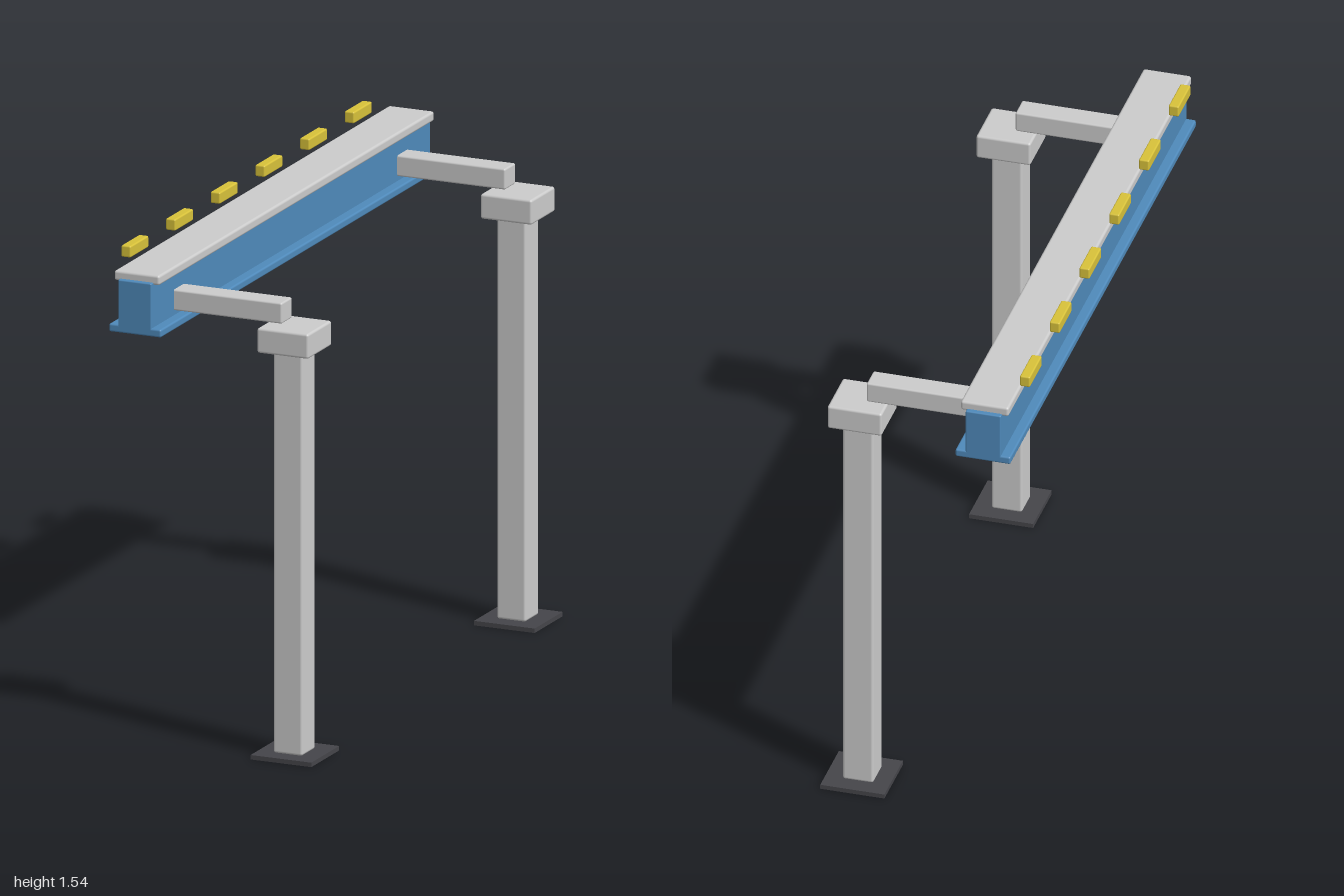
import * as THREE from 'three';
import { RoundedBoxGeometry } from 'three/addons/geometries/RoundedBoxGeometry.js';

const grey = new THREE.MeshStandardMaterial({ color: 0xcccccc });
const blue = new THREE.MeshStandardMaterial({ color: 0x4f8abb });
const yellow = new THREE.MeshStandardMaterial({ color: 0xd8c23a });
const dark = new THREE.MeshStandardMaterial({ color: 0x45454a });

// Box given by its min and max on each axis, with optional softened edges
function block(name, material, [x0, x1], [y0, y1], [z0, z1], radius = 0) {
  const size = [x1 - x0, y1 - y0, z1 - z0];
  const geometry = radius
    ? new RoundedBoxGeometry(...size, 2, radius)
    : new THREE.BoxGeometry(...size);
  const mesh = new THREE.Mesh(geometry, material);
  mesh.name = name;
  mesh.position.set((x0 + x1) / 2, (y0 + y1) / 2, (z0 + z1) / 2);
  return mesh;
}

// Post with foot plate, head block and the arm reaching to the beam
function createSupport(name) {
  const support = new THREE.Group();
  support.name = name;
  support.add(
    block('footPlate', dark, [0.122, 0.322], [0, 0.014], [-0.1, 0.1]),
    block('column', grey, [0.172, 0.268], [0.013, 1.275], [-0.048, 0.048], 0.008),
    block('columnHead', grey, [0.135, 0.305], [1.265, 1.343], [-0.085, 0.085], 0.008),
    block('arm', grey, [-0.2, 0.196], [1.35, 1.415], [-0.038, 0.038], 0.006)
  );
  return support;
}

export function createModel() {
  const model = new THREE.Group();
  model.name = 'overheadRail';

  // Beam: web, bottom flange and top cap
  const beam = new THREE.Group();
  beam.name = 'beam';
  beam.add(
    block('beamWeb', blue, [-0.27, -0.16], [1.32, 1.475], [-1, 1], 0.004),
    block('bottomFlange', blue, [-0.3, -0.128], [1.31, 1.335], [-1, 1], 0.006),
    block('topCap', grey, [-0.29, -0.14], [1.467, 1.498], [-0.985, 0.985], 0.008)
  );
  model.add(beam);

  // Two supports
  for (const [name, z] of [['frontSupport', 0.8], ['backSupport', -0.8]]) {
    const support = createSupport(name);
    support.position.z = z;
    model.add(support);
  }

  // Row of markers along the outer edge
  for (let i = 0; i < 6; i++) {
    const z = -0.8 + i * 0.32;
    model.add(block(`marker${i + 1}`, yellow, [-0.322, -0.29], [1.505, 1.541], [z - 0.065, z + 0.065], 0.005));
  }
  return model;
}
